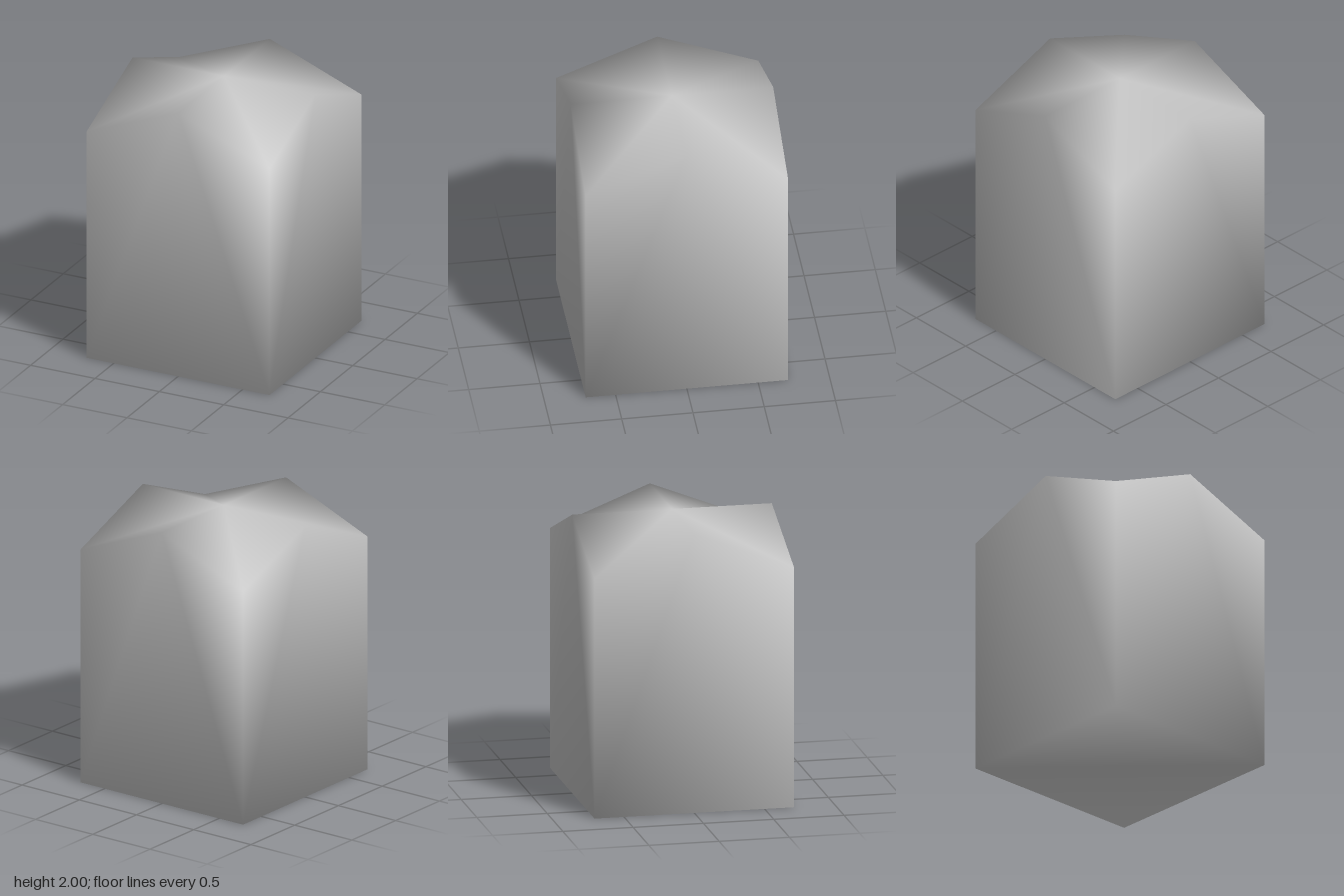
import * as THREE from 'three';

const HALF = 0.71, EAVE = 1.72, RIDGE = 2;

// Square block whose four walls rise to gables, under a crossed-gable roof.
function gabledBlockGeometry() {
  const positions = [];
  const corners = [[1, 1], [1, -1], [-1, -1], [-1, 1]];
  const peaks = [[1, 0], [0, -1], [-1, 0], [0, 1]];
  const addRing = (ring, y) => ring.forEach(([x, z]) => positions.push(x * HALF, y, z * HALF));
  addRing(corners, 0);      // 0-3 base corners
  addRing(corners, EAVE);   // 4-7 eave corners
  addRing(peaks, RIDGE);    // 8-11 gable peaks
  positions.push(0, RIDGE, 0); // 12 crossing of the ridges

  const index = [0, 3, 2, 0, 2, 1]; // underside
  for (let i = 0; i < 4; i++) {
    const j = (i + 1) % 4;
    const peak = 8 + i;
    // gabled wall
    index.push(i, j, peak, i, peak, 4 + i, j, 4 + j, peak);
    // the two roof slopes falling from this ridge to the corner valleys
    index.push(12, 4 + i, peak, 12, peak, 4 + j);
  }

  const geometry = new THREE.BufferGeometry();
  geometry.setAttribute('position', new THREE.Float32BufferAttribute(positions, 3));
  geometry.setIndex(index);
  geometry.computeVertexNormals(); // shared corners give soft shading
  return geometry;
}

export function createModel() {
  const group = new THREE.Group();
  group.name = 'gabledBlockModel';
  const material = new THREE.MeshStandardMaterial({ color: 0xcccccc, side: THREE.DoubleSide });
  const block = new THREE.Mesh(gabledBlockGeometry(), material);
  block.name = 'gabledBlock';
  group.add(block);
  return group;
}
